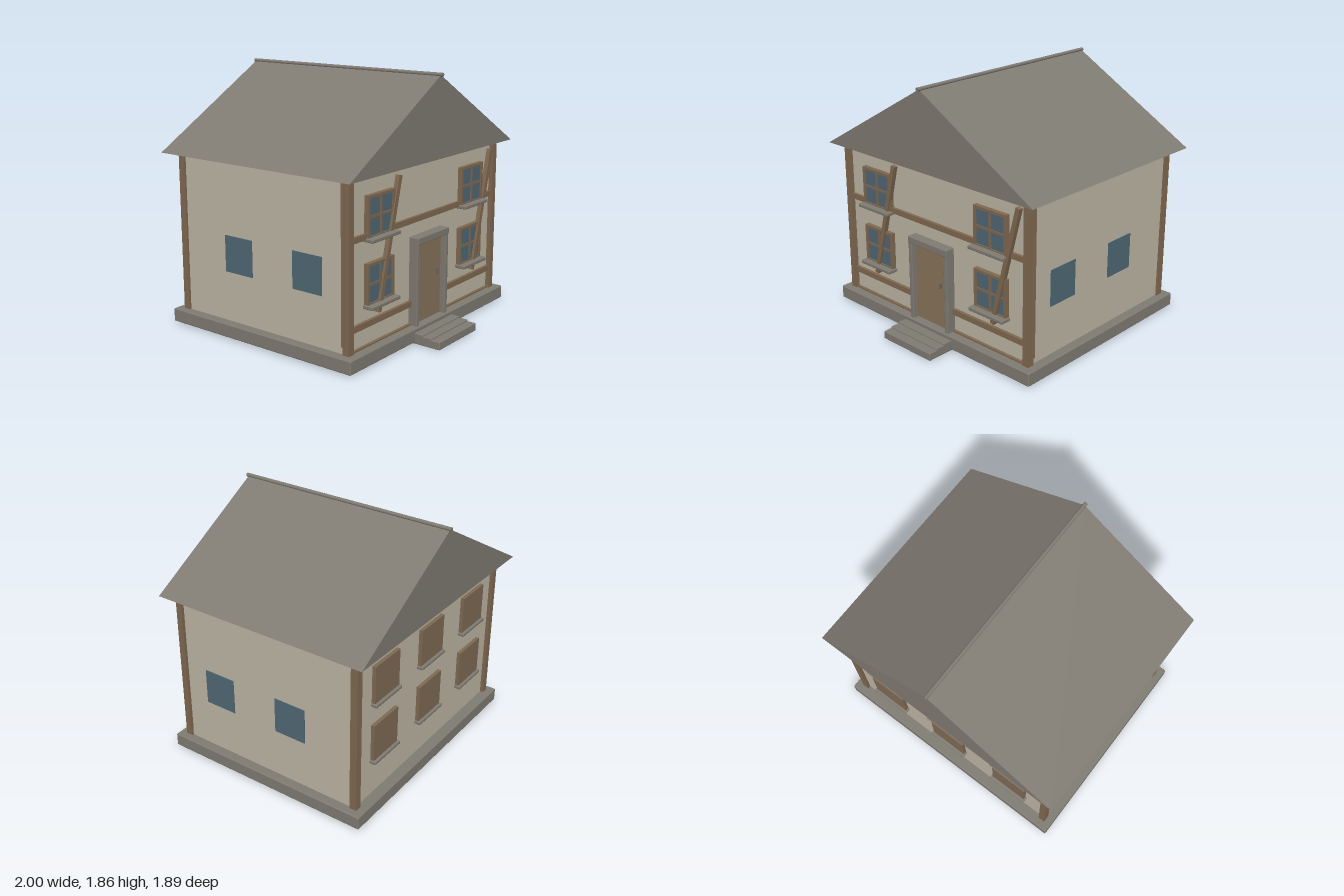
import * as THREE from 'three';
import { RoundedBoxGeometry } from 'three/addons/geometries/RoundedBoxGeometry.js';

const mat = (name, color) => Object.assign(new THREE.MeshStandardMaterial({ color }), { name });

export function createModel() {
  const plaster = mat('plaster', 0xbdb5a4);
  const stone = mat('stone', 0x7f7b72);
  const timber = mat('timber', 0x7f6950);
  const doorWood = mat('door wood', 0x87735a);
  const boardWood = mat('board wood', 0x7f6a53);
  const glass = mat('glass', 0x4f6874);
  const iron = mat('iron', 0x66635c);

  const house = new THREE.Group();
  house.name = 'house';

  // Box given by its extents on each axis; bevel softens the edges
  function block(name, material, [x0, x1], [y0, y1], [z0, z1], bevel = 0, parent = house) {
    const size = [x1 - x0, y1 - y0, z1 - z0];
    const geometry = bevel ? new RoundedBoxGeometry(...size, 2, bevel) : new THREE.BoxGeometry(...size);
    const mesh = new THREE.Mesh(geometry, material);
    mesh.name = name;
    mesh.position.set((x0 + x1) / 2, (y0 + y1) / 2, (z0 + z1) / 2);
    parent.add(mesh);
    return mesh;
  }

  // Foundation and entrance steps
  block('foundation', stone, [-0.97, 0.97], [0.01, 0.108], [-0.907, 0.737], 0.008);
  [[0.94, 0.058], [0.872, 0.069], [0.803, 0.08]].forEach(([front, top], i) =>
    block('step' + (i + 1), stone, [-0.24, 0.24], [0, top], [0.7, front], 0.006));

  // Walls
  block('walls', plaster, [-0.9, 0.9], [0.1, 1.275], [-0.825, 0.65]);

  // Corner posts, with a narrow batten beside each front post
  for (const s of [-1, 1]) {
    for (const z of [0.655, -0.823]) {
      const x = s * 0.889;
      block('cornerPost', timber, [x - 0.026, x + 0.026], [0.1, 1.275], [z - 0.027, z + 0.027]);
    }
    const x = s * 0.912;
    block('sideBatten', timber, [x - 0.012, x + 0.012], [0.165, 1.275], [0.625, 0.647]);
  }

  // Horizontal beams on the front
  [[0.105, 0.12], [0.245, 0.288], [0.845, 0.886], [1.253, 1.275]].forEach(y =>
    block('frontBeam', timber, [-0.864, 0.864], y, [0.64, 0.672]));

  // Slanted braces, both leaning the same way
  for (const x of [-0.48, 0.707]) {
    const brace = block('brace', timber, [x - 0.017, x + 0.017], [0.31, 1.23], [0.66, 0.693]);
    brace.rotation.z = -0.25;
  }

  // Front windows: frame, glass, crossbars and sill
  function frontWindow(x, y) {
    const group = new THREE.Group();
    group.name = 'frontWindow';
    const w = 0.147, h = 0.146, t = 0.02;
    const frame = [0.64, 0.684];
    for (const s of [-1, 1]) {
      const cx = s * (w - t / 2), cy = s * (h - t / 2);
      block('frameSide', timber, [cx - t / 2, cx + t / 2], [-h, h], frame, 0, group);
      block('frameRail', timber, [-w + t, w - t], [cy - t / 2, cy + t / 2], frame, 0, group);
    }
    block('pane', glass, [-w + t, w - t], [-h + t, h - t], [0.668, 0.674], 0, group);
    block('verticalBar', timber, [-0.009, 0.009], [-h + t, h - t], [0.67, 0.681], 0, group);
    block('horizontalBar', timber, [-w + t, w - t], [-0.009, 0.009], [0.67, 0.68], 0, group);
    block('sill', stone, [-0.158, 0.158], [-h - 0.014, -h + 0.012], [0.645, 0.73], 0.006, group);
    group.position.set(x, y, 0);
    house.add(group);
  }

  // Boarded back windows
  function backWindow(x, y) {
    const group = new THREE.Group();
    group.name = 'backWindow';
    block('boards', boardWood, [-0.145, 0.145], [-0.143, 0.143], [-0.852, -0.82], 0, group);
    block('sill', stone, [-0.155, 0.155], [-0.16, -0.136], [-0.872, -0.82], 0.006, group);
    group.position.set(x, y, 0);
    house.add(group);
  }

  for (const y of [0.99, 0.535]) {
    for (const x of [-0.566, 0.566]) frontWindow(x, y);
    for (const x of [-0.57, 0, 0.57]) backWindow(x, y);
  }

  // Plain side panes
  for (const s of [-1, 1]) {
    for (const z of [0.325, -0.293]) {
      const x = s * 0.902;
      block('sidePane', glass, [x - 0.004, x + 0.004], [0.47, 0.735], [z - 0.126, z + 0.126]);
    }
  }

  // Door with stone surround
  block('door', doorWood, [-0.163, 0.163], [0.105, 0.7], [0.64, 0.676]);
  block('doorLeaf', doorWood, [-0.15, 0.15], [0.118, 0.692], [0.67, 0.684]);
  block('doorHandle', iron, [0.094, 0.108], [0.42, 0.462], [0.68, 0.7], 0.003);
  for (const s of [-1, 1]) {
    const x = s * 0.178;
    block('doorJamb', stone, [x - 0.017, x + 0.017], [0.1, 0.71], [0.64, 0.72], 0.006);
  }
  block('doorLintel', stone, [-0.195, 0.195], [0.695, 0.747], [0.64, 0.724], 0.006);

  // Solid gable roof with a ridge pole
  const gable = new THREE.Shape([
    new THREE.Vector2(-1, 1.272), new THREE.Vector2(1, 1.272), new THREE.Vector2(0, 1.848),
  ]);
  const roof = new THREE.Mesh(new THREE.ExtrudeGeometry(gable, { depth: 1.69, bevelEnabled: false }), stone);
  roof.name = 'roof';
  roof.position.z = -0.936;
  house.add(roof);

  const ridge = new THREE.Mesh(new THREE.CylinderGeometry(0.014, 0.014, 1.717, 12), stone);
  ridge.name = 'ridgePole';
  ridge.rotation.x = Math.PI / 2;
  ridge.position.set(0, 1.85, -0.088);
  house.add(ridge);

  return house;
}
